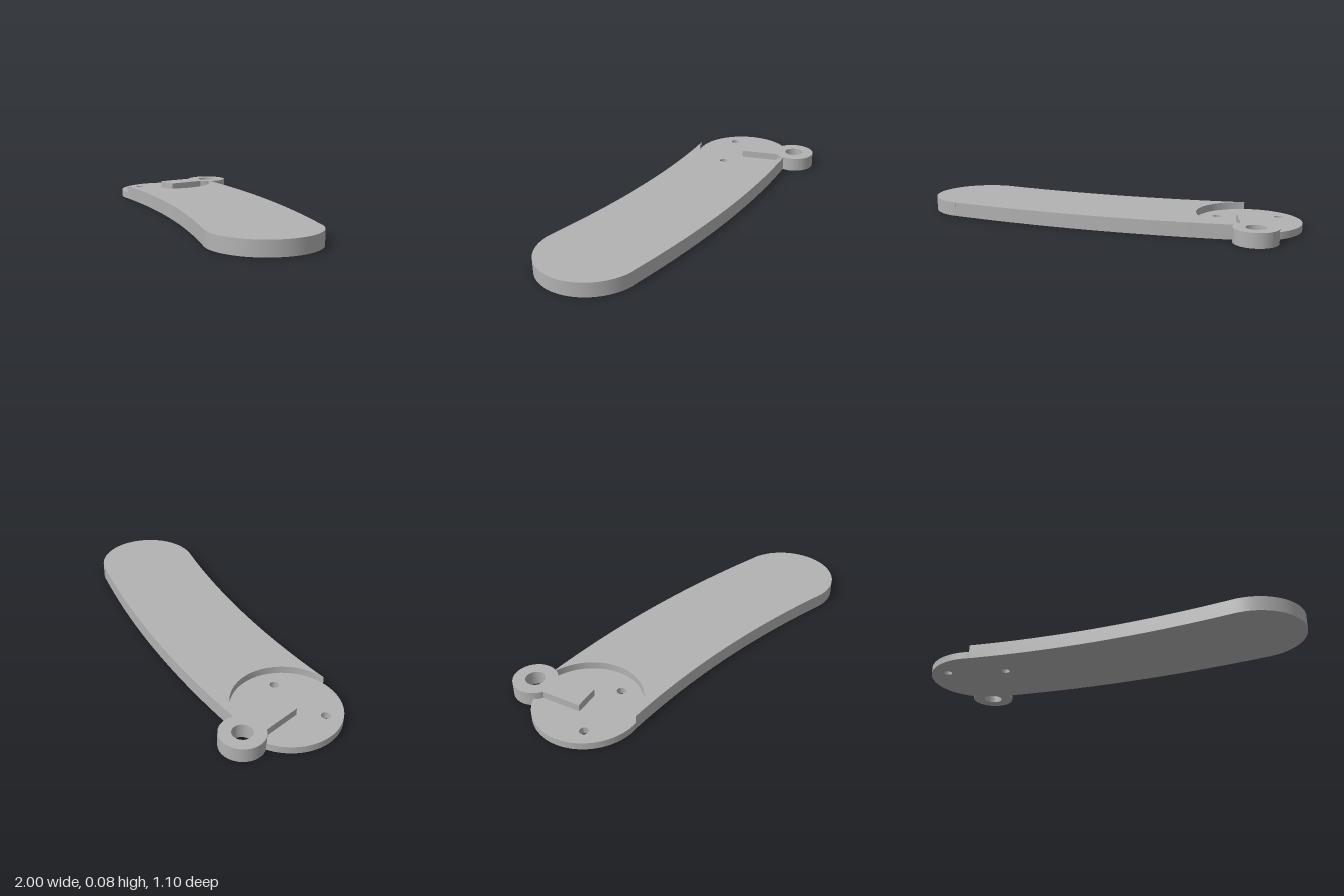
import * as THREE from 'three';
import { toCreasedNormals } from 'three/addons/utils/BufferGeometryUtils.js';

const STEP = 0.037, TOP = 0.075;
// Plan coordinates: x to the right, v towards the back (v = -z)
const DISC = { x: -0.73, v: 0.135, r: 0.27 };
const END = { x: 0.73, v: -0.275, r: 0.27 };
const RING = { x: -0.73, v: 0.44, r: 0.112, hole: 0.05 };

function circlePath(path, x, v, r) {
  path.absarc(x, v, r, 0, Math.PI * 2, false);
  return path;
}

// Extrude a plan shape upwards between two heights
function slab(name, shape, y0, y1, material) {
  let g = new THREE.ExtrudeGeometry(shape, { depth: y1 - y0, bevelEnabled: false, curveSegments: 40 });
  g.rotateX(-Math.PI / 2);
  g.translate(0, y0, 0);
  g = toCreasedNormals(g, 0.5);
  const mesh = new THREE.Mesh(g, material);
  mesh.name = name;
  return mesh;
}

// Curved arm outline from the back of the disc round the far end to the front of the disc
function armOutline() {
  const s = new THREE.Shape();
  s.moveTo(-0.69, 0.402);
  s.quadraticCurveTo(0.075, 0.303, 0.84, -0.03);
  s.absarc(END.x, END.v, END.r, Math.atan2(0.245, 0.11), Math.atan2(-0.245, -0.115), true);
  s.quadraticCurveTo(-0.06, -0.22, -0.735, -0.135);
  return s;
}

export function createModel() {
  const group = new THREE.Group();
  const grey = new THREE.MeshStandardMaterial({ color: 0xb2b2b2 });
  grey.name = 'grey';

  // Lower layer: arm and whole disc, notched where the ring bore passes
  const lower = armOutline();
  const d = RING.v - DISC.v;
  const a = (d * d + RING.hole ** 2 - DISC.r ** 2) / (2 * d);
  const h = Math.sqrt(RING.hole ** 2 - a * a);
  lower.absarc(DISC.x, DISC.v, DISC.r, -Math.PI / 2, Math.atan2(d - a, -h), true);
  lower.absarc(RING.x, RING.v, RING.hole, Math.atan2(-a, -h), Math.atan2(-a, h), false);
  lower.closePath();
  for (const x of [-0.895, -0.575]) {
    lower.holes.push(circlePath(new THREE.Path(), x, 0.045, 0.023));
  }
  group.add(slab('basePlate', lower, 0, STEP, grey));

  // Upper layer: arm with the round recess cut out of its end
  const upper = armOutline();
  upper.absarc(DISC.x, DISC.v, DISC.r, -Math.PI / 2, Math.atan2(0.267, 0.04), false);
  upper.closePath();
  group.add(slab('raisedArm', upper, STEP, TOP, grey));

  // Full-height eyelet ring
  const ring = circlePath(new THREE.Shape(), RING.x, RING.v, RING.r);
  ring.holes.push(circlePath(new THREE.Path(), RING.x, RING.v, RING.hole));
  group.add(slab('eyeletRing', ring, 0, TOP, grey));

  // Tab joining the ring to the recessed disc
  const tab = new THREE.Mesh(new THREE.BoxGeometry(0.13, TOP - STEP, 0.22), grey);
  tab.position.set(RING.x, (STEP + TOP) / 2, -0.25);
  tab.name = 'eyeletTab';
  group.add(tab);

  return group;
}
